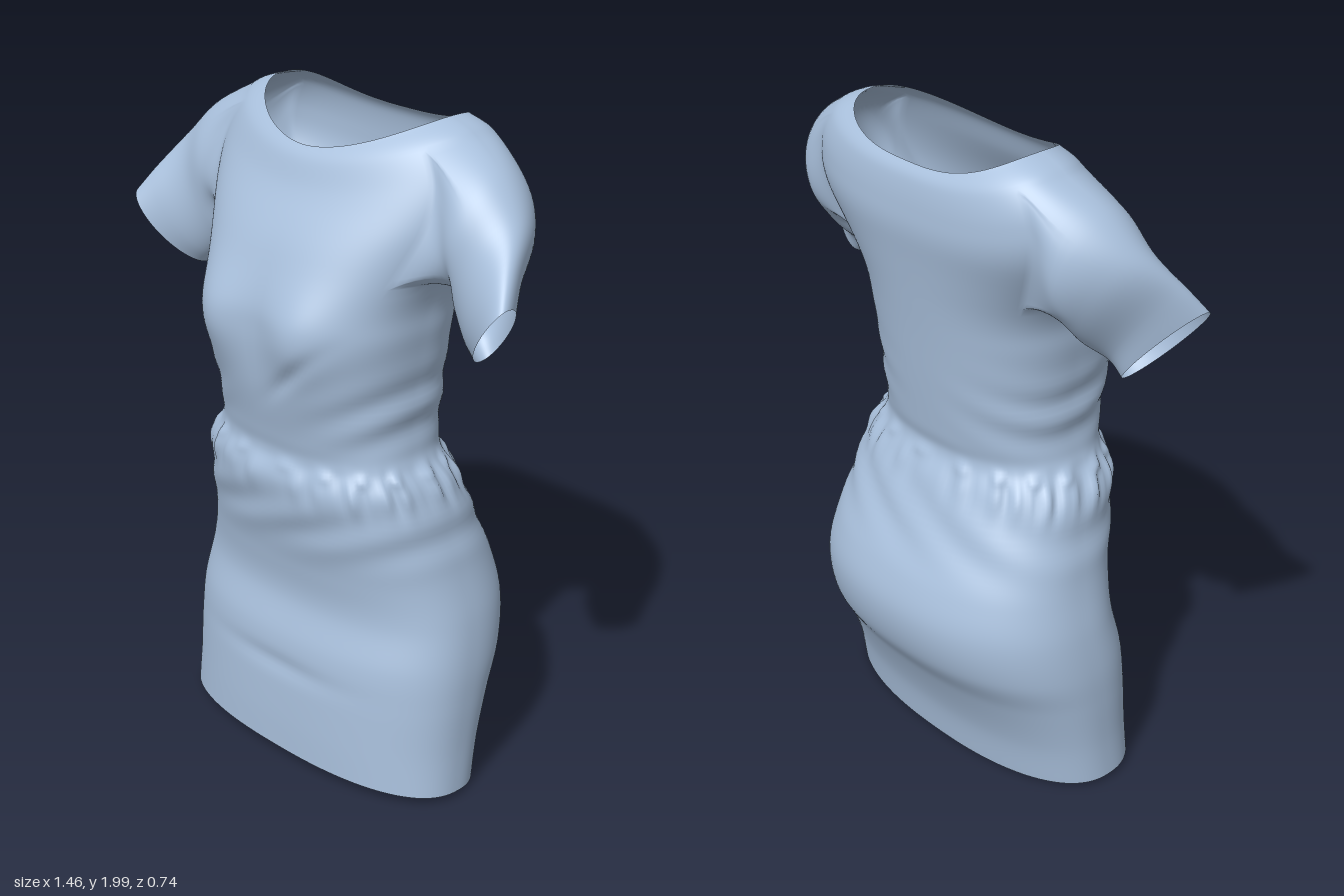
import * as THREE from 'three';

const cloth = new THREE.MeshStandardMaterial({ color: 0xa9c0dc, side: THREE.DoubleSide });
const { lerp, smoothstep } = THREE.MathUtils;
const bump = (v, centre, width) => Math.exp(-(((v - centre) / width) ** 2));

const SEGMENTS = 160, STEPS = 8; // columns round the body, rows between two rings
const WAIST = 8 * STEPS; // row of the waist seam
const ARM = { half: 14, low: 12 * STEPS + 2, high: 15 * STEPS }; // armhole columns and rows
const SLEEVE_ROWS = 28;

// Rings from hem to neckline: height at the side, half width, front z, back z, z of widest point
const bodyRings = [
  [0.025, 0.535, 0.285, -0.18, 0.05],
  [0.15, 0.53, 0.285, -0.21, 0.03],
  [0.3, 0.53, 0.28, -0.275, 0.01],
  [0.42, 0.525, 0.272, -0.345, -0.01],
  [0.55, 0.505, 0.243, -0.37, -0.03],
  [0.67, 0.475, 0.255, -0.345, -0.03],
  [0.8, 0.445, 0.285, -0.285, -0.01],
  [0.95, 0.41, 0.312, -0.225, 0.03],
  [1.03, 0.36, 0.29, -0.19, 0.05],
  [1.1, 0.342, 0.3, -0.2, 0.05],
  [1.25, 0.345, 0.33, -0.22, 0.04],
  [1.41, 0.36, 0.338, -0.24, 0.03],
  [1.53, 0.375, 0.325, -0.257, 0],
  [1.74, 0.47, 0.25, -0.288, -0.07],
  [1.87, 0.475, 0.205, -0.29, -0.08],
  [1.962, 0.42, 0.175, -0.28, -0.08],
  [2.0, 0.33, 0.148, -0.258, -0.08],
];

// Catmull-Rom blend through the rings
function sampleRings(rings) {
  const out = [], last = rings.length - 1;
  for (let k = 0; k <= last * STEPS; k++) {
    const i = Math.min(Math.floor(k / STEPS), last - 1), t = k / STEPS - i;
    const [a, b, c, d] = [i - 1, i, i + 1, i + 2].map(n => rings[Math.min(Math.max(n, 0), last)]);
    out.push(b.map((_, n) => {
      const m0 = (c[n] - a[n]) / 2, m1 = (d[n] - b[n]) / 2;
      return b[n] + t * (m0 + t * (3 * (c[n] - b[n]) - 2 * m0 - m1 + t * (2 * (b[n] - c[n]) + m0 + m1)));
    }));
  }
  return out;
}

function bodyPoint([side, w, zf, zb, zc], angle) {
  const c = Math.cos(angle), s = Math.sin(angle), front = s >= 0;
  // The front rounds off and the back squares up towards the neck
  const neck = smoothstep(side, 1.5, 2);
  const n = front ? 2.4 - 0.55 * neck + 0.4 * bump(side, 1.42, 0.15) : 2.3 + 0.5 * neck;
  let x = w * Math.sign(c) * Math.abs(c) ** (2 / n);
  let z = zc + ((front ? zf : zb) - zc) * Math.abs(s) ** (2 / n);
  // Neckline dips at front and back, hem rises slightly at the front
  const dip = (front ? 0.1 : 0.075) * smoothstep(side, 1.62, 1.97);
  const y = lerp(side, side - dip, s * s) + 0.018 * s * bump(side, 0, 0.12);
  // Bust
  if (front) z += 0.04 * s * bump(y, 1.42, 0.13) * bump(Math.abs(x), 0.17, 0.12);
  // Gathers under the waist, strongest at the sides
  const gather = 0.5 + 0.5 * c * c;
  let d = gather * bump(y, 0.965, 0.045) * (0.007 * Math.cos(angle * 23) + 0.005 * Math.cos(angle * 37 + 1));
  d += 0.014 * gather * bump(y, 1.01, 0.018) * Math.max(0, Math.cos(angle * 17 + 0.6));
  // Drag folds over the hips and at the sides of the waist
  d += 0.005 * bump(y, 0.84, 0.09) * Math.sin(y * 40 - x * 20);
  d += 0.007 * c * c * bump(y, 1.2, 0.11) * Math.sin(y * 50 - x * 24 + angle);
  // Slanting fold under the bust and a soft crease across the skirt
  if (front) {
    d -= 0.012 * s * bump(y - 0.8 * x, 1.2, 0.03) * bump(x, 0.14, 0.09);
    d -= 0.008 * s * bump(y, 0.33, 0.03) * bump(x, 0, 0.22);
  }
  return new THREE.Vector3(x + d * c, y, z + d * s);
}

// Sleeve rings from shoulder to cuff: centre, long half axis, short half axis
const sleeveRings = [
  [0.5, 1.72, -0.05, 0.045, 0.168, 0, -0.01, 0, 0.152],
  [0.555, 1.64, -0.015, 0.08, 0.147, 0.02, -0.02, -0.02, 0.118],
  [0.61, 1.56, 0.05, 0.085, 0.122, 0.045, -0.02, -0.03, 0.075],
  [0.645, 1.505, 0.08, 0.085, 0.105, 0.07, -0.02, -0.03, 0.055],
];

function sleevePoint([x, y, z, ax, ay, az, bx, by, bz], angle, side) {
  const c = Math.cos(angle), s = -Math.sin(angle);
  return new THREE.Vector3(side * (x + ax * c + bx * s), y + ay * c + by * s, z + az * c + bz * s);
}

// Grid cells [column, row] round the armhole: top, back, underarm, front, top again
function armholeLoop() {
  const { half, low, high } = ARM, loop = [];
  for (let j = 0; j > -half; j--) loop.push([j, high]);
  for (let i = high; i > low; i--) loop.push([-half, i]);
  for (let j = -half; j < half; j++) loop.push([j, low]);
  for (let i = low; i < high; i++) loop.push([half, i]);
  for (let j = half; j > 0; j--) loop.push([j, high]);
  return loop;
}

// Two triangles between neighbouring strips a-b and c-d
function addQuad(index, a, b, c, d, flip) {
  if (flip) index.push(a, b, c, b, d, c);
  else index.push(a, c, b, b, c, d);
}

// Body grid with both armholes left open
function buildBody(points, parts) {
  const rows = sampleRings(bodyRings);
  for (const row of rows) {
    for (let j = 0; j < SEGMENTS; j++) points.push(bodyPoint(row, (j / SEGMENTS) * Math.PI * 2));
  }
  for (let i = 0; i < rows.length - 1; i++) {
    for (let j = 0; j < SEGMENTS; j++) {
      const fromSide = Math.abs(((j + 0.5 + SEGMENTS / 4) % (SEGMENTS / 2)) - SEGMENTS / 4);
      if (i >= ARM.low && i < ARM.high && fromSide < ARM.half) continue;
      const a = i * SEGMENTS + j, b = i * SEGMENTS + ((j + 1) % SEGMENTS);
      addQuad(i < WAIST ? parts.skirt : parts.bodice, a, b, a + SEGMENTS, b + SEGMENTS, false);
    }
  }
}

// Sleeve whose strands leave the armhole edge smoothly and run to the cuff
function buildSleeve(points, index, side) {
  const loop = armholeLoop();
  const vertex = (j, i) => i * SEGMENTS + ((side > 0 ? j + SEGMENTS : SEGMENTS / 2 - j) % SEGMENTS);
  const strands = loop.map(([j, i], k) => {
    const outJ = Math.abs(j) === ARM.half ? 4 * Math.sign(j) : 0;
    const outI = i === ARM.high ? 4 : i === ARM.low ? -4 : 0;
    const rings = sleeveRings.map(ring => sleevePoint(ring, (k / loop.length) * Math.PI * 2, side));
    const curve = new THREE.CatmullRomCurve3([points[vertex(j + outJ, i + outI)], points[vertex(j, i)], ...rings]);
    const strand = [vertex(j, i)];
    for (let r = 1; r <= SLEEVE_ROWS; r++) {
      strand.push(points.length);
      points.push(curve.getPoint(lerp(1 / (rings.length + 1), 1, r / SLEEVE_ROWS)));
    }
    return strand;
  });
  strands.forEach((p, k) => {
    const q = strands[(k + 1) % strands.length];
    for (let r = 0; r < SLEEVE_ROWS; r++) addQuad(index, p[r], q[r], p[r + 1], q[r + 1], side < 0);
  });
}

export function createModel() {
  const points = [], parts = { skirt: [], bodice: [], leftSleeve: [], rightSleeve: [] };
  buildBody(points, parts);
  buildSleeve(points, parts.leftSleeve, 1);
  buildSleeve(points, parts.rightSleeve, -1);

  // Normals are found over the whole cloth so that the parts join without a seam
  const whole = new THREE.BufferGeometry().setFromPoints(points);
  whole.setIndex(Object.values(parts).flat());
  whole.computeVertexNormals();

  const dress = new THREE.Group();
  dress.name = 'dress';
  for (const [name, index] of Object.entries(parts)) {
    const geometry = new THREE.BufferGeometry();
    geometry.setAttribute('position', whole.getAttribute('position'));
    geometry.setAttribute('normal', whole.getAttribute('normal'));
    geometry.setIndex(index);
    const mesh = new THREE.Mesh(geometry, cloth);
    mesh.name = name;
    dress.add(mesh);
  }
  return dress;
}
